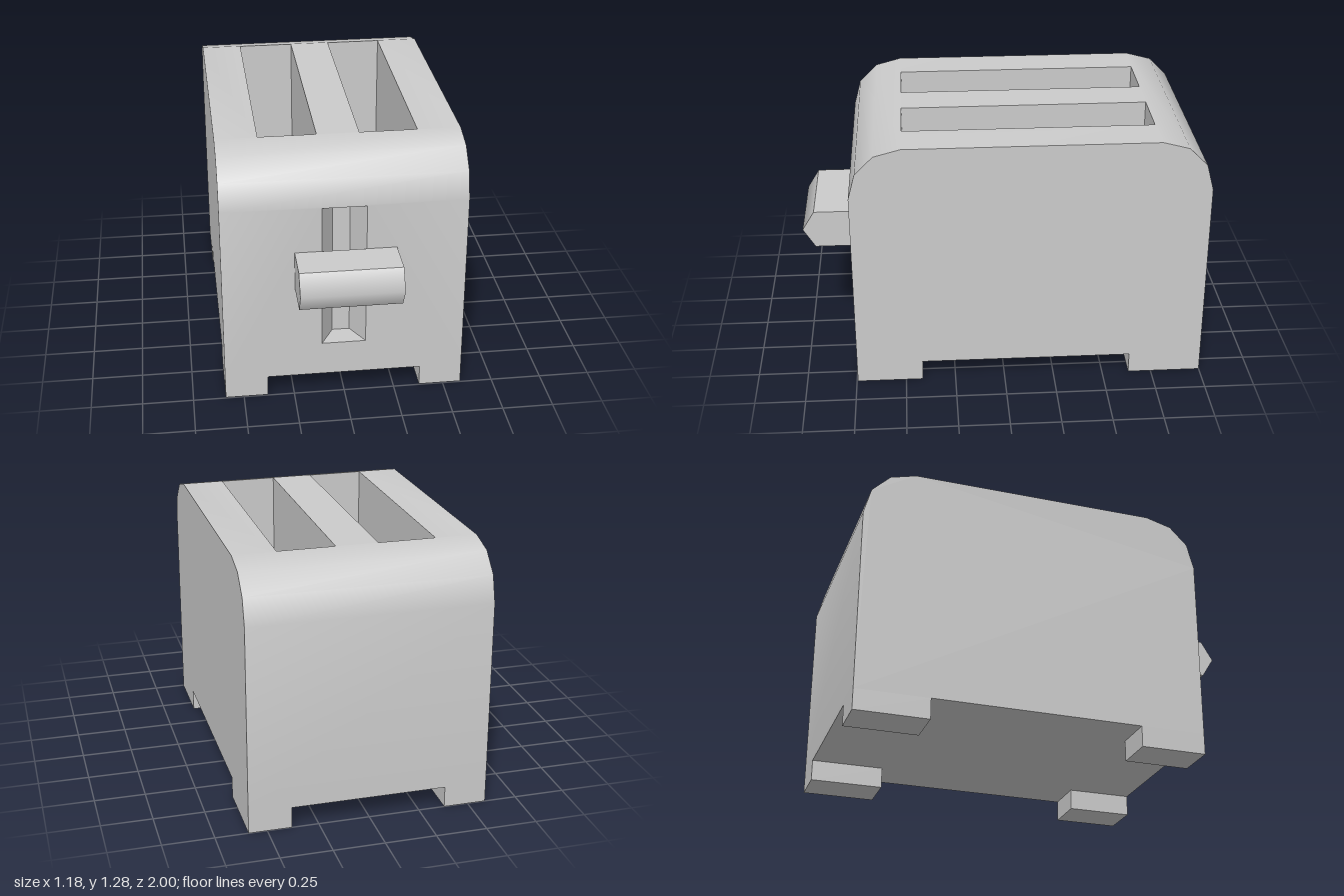
import * as THREE from 'three';
import { mergeGeometries, toCreasedNormals } from 'three/addons/utils/BufferGeometryUtils.js';

const HALF_W = 0.59, FRONT = 0.745, BACK = -1, BASE = 0.105, TOP = 1.285;
// Rounded shoulders as [z, y], from the top edge downwards
const FRONT_ARC = [[0.49, TOP], [0.62, 1.25], [0.71, 1.16], [FRONT, 1.03]];
const BACK_ARC = [[-0.745, TOP], [-0.875, 1.25], [-0.965, 1.16], [BACK, 1.03]];
const SLOTS = [[-0.385, -0.105], [0.1, 0.38]];
const SLOT_BACK = -0.74, SLOT_FRONT = 0.485;
const GROOVE = [-0.11, 0.105, 0.28, 1.022];

const rect = (x0, x1, y0, y1) => [[x0, y0], [x1, y0], [x1, y1], [x0, y1]];
const vectors = (pts) => pts.map(([x, y]) => new THREE.Vector2(x, y));

function panel(outline, holes = []) {
  const shape = new THREE.Shape(vectors(outline));
  for (const h of holes) shape.holes.push(new THREE.Path(vectors(h)));
  return new THREE.ShapeGeometry(shape);
}

// Walls and floor of a pocket sunk from z = 0, with sides tapering by inset
function recess([x0, x1, y0, y1], depth, inset = 0) {
  const rim = rect(x0, x1, y0, y1).map(([x, y]) => [x, y, 0]);
  const floor = rect(x0 + inset, x1 - inset, y0, y1).map(([x, y]) => [x, y, -depth]);
  const pos = [];
  const quad = (a, b, c, d) => pos.push(...a, ...b, ...c, ...a, ...c, ...d);
  for (let i = 0; i < 4; i++) {
    const j = (i + 1) % 4;
    quad(rim[i], rim[j], floor[j], floor[i]);
  }
  quad(...floor);
  return new THREE.BufferGeometry().setAttribute('position', new THREE.Float32BufferAttribute(pos, 3));
}

// Curved strip across the full width, following an arc
function shoulder(arc, sign) {
  const g = new THREE.PlaneGeometry(2 * HALF_W, 1, 1, arc.length - 1);
  const p = g.attributes.position;
  for (let i = 0; i < p.count; i++) {
    const [z, y] = arc[Math.floor(i / 2)];
    p.setXYZ(i, p.getX(i) * sign, y, z);
  }
  return g;
}

function bodyGeometry() {
  const profile = [[BACK, BASE], [FRONT, BASE], ...[...FRONT_ARC].reverse(), ...BACK_ARC];
  const wall = rect(-HALF_W, HALF_W, BASE, 1.03);
  const slotRects = SLOTS.map(([a, b]) => [a, b, -SLOT_FRONT, -SLOT_BACK]);
  const parts = [
    // front with lever groove, and back
    panel(wall, [rect(...GROOVE)]).translate(0, 0, FRONT),
    recess(GROOVE, 0.12, 0.065).translate(0, 0, FRONT),
    panel(wall).rotateY(Math.PI).translate(0, 0, BACK),
    // top with bread slots
    panel(rect(-HALF_W, HALF_W, -FRONT_ARC[0][0], -BACK_ARC[0][0]), slotRects.map((r) => rect(...r)))
      .rotateX(-Math.PI / 2).translate(0, TOP, 0),
    ...slotRects.map((r) => recess(r, 0.98).rotateX(-Math.PI / 2).translate(0, TOP, 0)),
    // shoulders
    shoulder(FRONT_ARC, 1),
    shoulder(BACK_ARC, -1),
    // sides
    panel(profile.map(([z, y]) => [-z, y])).rotateY(Math.PI / 2).translate(HALF_W, 0, 0),
    panel(profile).rotateY(-Math.PI / 2).translate(-HALF_W, 0, 0),
    // underside
    new THREE.PlaneGeometry(2 * HALF_W, FRONT - BACK).rotateX(Math.PI / 2)
      .translate(0, BASE, (FRONT + BACK) / 2),
  ].map((g) => {
    const flat = g.index ? g.toNonIndexed() : g;
    flat.deleteAttribute('uv');
    flat.deleteAttribute('normal');
    return flat;
  });
  return toCreasedNormals(mergeGeometries(parts), 0.65);
}

function leverGeometry() {
  const outline = [[-FRONT, 0.6], [-FRONT, 0.795], [-0.94, 0.795], [-1, 0.697], [-0.94, 0.6]];
  const g = new THREE.ExtrudeGeometry(new THREE.Shape(vectors(outline)), { depth: 0.49, bevelEnabled: false })
    .rotateY(Math.PI / 2).translate(-0.24, 0, 0);
  // soften the nose ridge
  const { position: p, normal: n } = g.attributes;
  for (let i = 0; i < p.count; i++) {
    if (p.getZ(i) > 0.99 && n.getZ(i) > 0.5) n.setXYZ(i, 0, 0, 1);
  }
  return g;
}

export function createModel() {
  const group = new THREE.Group();
  group.name = 'toaster';
  const material = new THREE.MeshStandardMaterial({ color: 0xcccccc });
  const add = (name, geometry) => {
    const mesh = new THREE.Mesh(geometry, material);
    mesh.name = name;
    group.add(mesh);
  };

  add('body', bodyGeometry());
  add('lever', leverGeometry());

  // Four corner feet, flush with the outer walls
  for (const [end, z0, z1] of [['front', 0.415, FRONT], ['back', BACK, -0.635]]) {
    for (const [side, s] of [['Left', 1], ['Right', -1]]) {
      const foot = new THREE.BoxGeometry(HALF_W - 0.38, BASE, z1 - z0);
      add(`${end}${side}Foot`, foot.translate(s * (HALF_W + 0.38) / 2, BASE / 2, (z0 + z1) / 2));
    }
  }
  return group;
}
